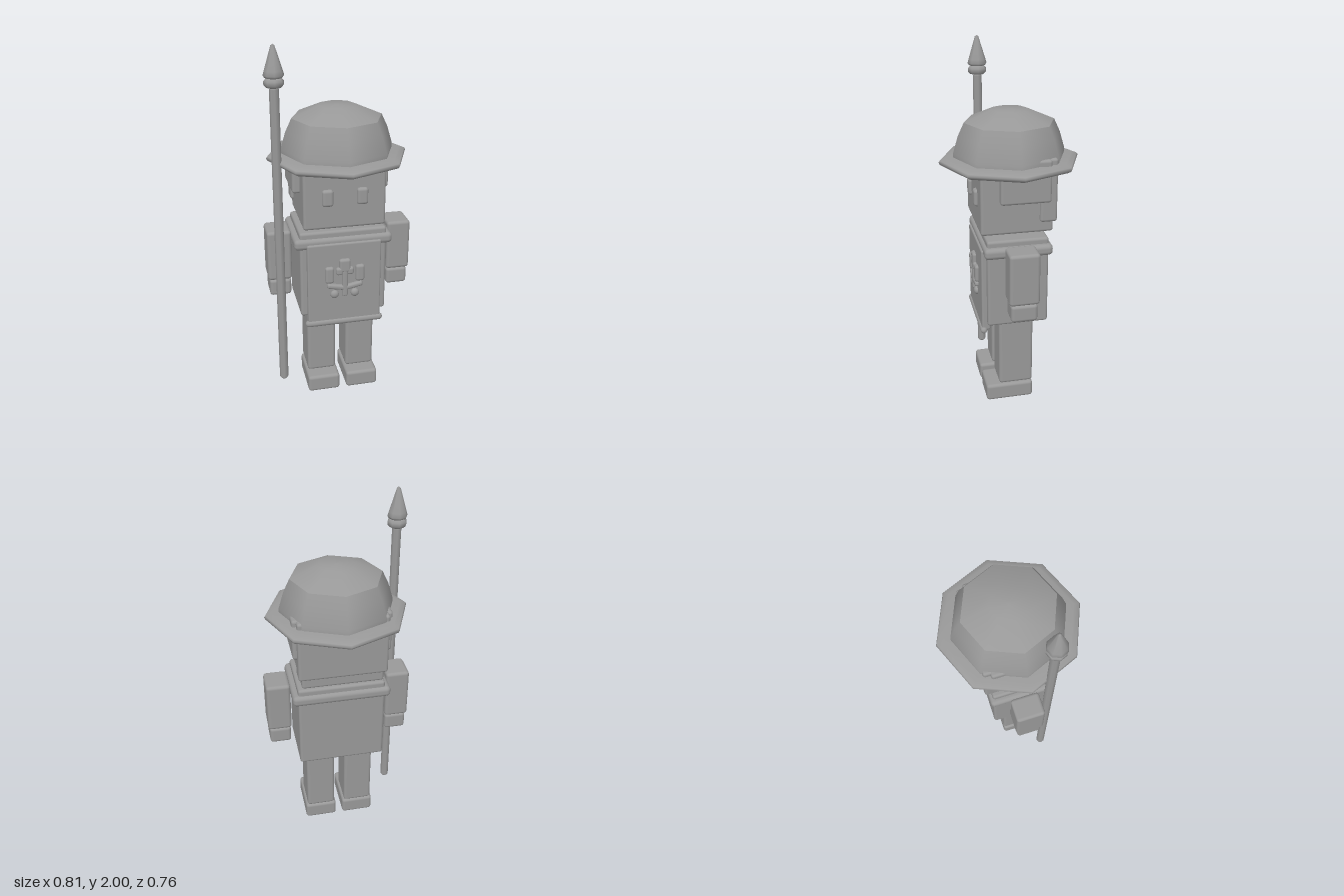
import * as THREE from 'three';
import { RoundedBoxGeometry } from 'three/addons/geometries/RoundedBoxGeometry.js';

export function createModel() {
  const root = new THREE.Group();
  root.name = 'toySoldier';
  const stone = new THREE.MeshStandardMaterial({ color: 0x999999 });
  stone.name = 'stoneGrey';

  const add = (name, geometry, parent = root) => {
    const mesh = new THREE.Mesh(geometry, stone);
    mesh.name = name;
    parent.add(mesh);
    return mesh;
  };
  // Rounded block given by its extents on each axis
  const block = (name, [x0, x1], [y0, y1], [z0, z1], r = 0.015, parent = root) => {
    const mesh = add(name, new RoundedBoxGeometry(x1 - x0, y1 - y0, z1 - z0, 2, r), parent);
    mesh.position.set((x0 + x1) / 2, (y0 + y1) / 2, (z0 + z1) / 2);
    return mesh;
  };
  // Eight-sided turned part, profile listed from bottom to top
  const turned = (name, profile, parent = root) =>
    add(name, new THREE.LatheGeometry(profile.map(([r, y]) => new THREE.Vector2(r, y)), 8), parent);
  const group = (name) => {
    const g = new THREE.Group();
    g.name = name;
    root.add(g);
    return g;
  };
  const span = (side, a, b) => (side > 0 ? [a, b] : [-b, -a]);

  // Limbs, hair and eyes, mirrored
  for (const side of [1, -1]) {
    const label = side > 0 ? 'left' : 'right';
    block(label + 'Foot', span(side, 0.02, 0.205), [0, 0.1], [-0.095, 0.175], 0.018);
    block(label + 'Leg', span(side, 0.03, 0.195), [0.1, 0.53], [-0.095, 0.1], 0.018);
    block(label + 'Arm', span(side, 0.27, 0.403), [0.71, 1.0], [-0.08, 0.083], 0.018);
    block(label + 'Hand', span(side, 0.275, 0.395), [0.61, 0.708], [-0.07, 0.073], 0.018);
    block(label + 'SideHair', span(side, 0.19, 0.262), [1.22, 1.45], [-0.17, 0.1]);
    block(label + 'Eye', span(side, 0.063, 0.123), [1.175, 1.268], [0.18, 0.216], 0.016);
  }

  // Torso, collar and tabard
  block('torso', [-0.24, 0.24], [0.515, 1.018], [-0.165, 0.17]);
  block('collar', [-0.27, 0.27], [0.923, 0.985], [-0.183, 0.187], 0.024);
  block('tabard', [-0.205, 0.205], [0.475, 0.955], [0.15, 0.197], 0.01);
  const hem = add('tabardHem', new THREE.CapsuleGeometry(0.02, 0.4, 4, 8));
  hem.rotation.z = Math.PI / 2;
  hem.position.set(0, 0.475, 0.188);

  // Head and back hair
  block('head', [-0.222, 0.222], [1.045, 1.42], [-0.19, 0.198]);
  block('backHair', [-0.24, 0.24], [1.105, 1.45], [-0.207, -0.115]);

  // Helmet: brim, sloping wall and shallow crown
  const helmet = group('helmet');
  turned('brim', [[0, 1.375], [0.31, 1.372], [0.355, 1.372], [0.375, 1.382], [0.381, 1.394],
    [0.375, 1.404], [0.345, 1.415], [0.29, 1.42]], helmet);
  turned('helmetWall', [[0.305, 1.41], [0.303, 1.44], [0.276, 1.53], [0.243, 1.6]], helmet);
  turned('helmetCrown', [[0.243, 1.6], [0.1, 1.662], [0, 1.666]], helmet);

  // Spear held beside the right arm
  const spear = group('spear');
  spear.position.set(-0.34, 0, 0.11);
  turned('spearShaft', [[0, 0.085], [0.018, 0.085], [0.025, 0.095], [0.025, 1.78], [0.018, 1.79], [0, 1.79]], spear);
  turned('spearRing', [[0, 1.79], [0.04, 1.791], [0.051, 1.803], [0.051, 1.822], [0.04, 1.835], [0, 1.836]], spear);
  turned('spearPoint', [[0, 1.836], [0.045, 1.838], [0.053, 1.85], [0.047, 1.872], [0.01, 1.992], [0, 2]], spear);

  // Raised lily-shaped ornament on the tabard
  const lily = group('chestOrnament');
  const depth = [0.185, 0.216];
  block('lilyStem', [-0.016, 0.016], [0.64, 0.8], depth, 0.011, lily);
  block('lilyCentrePetal', [-0.032, 0.032], [0.785, 0.865], depth, 0.015, lily);
  for (const side of [1, -1]) {
    block('lilySidePetal', span(side, 0.06, 0.11), [0.725, 0.823], depth, 0.015, lily);
    block('lilyInnerLeaf', span(side, 0.01, 0.05), [0.77, 0.815], depth, 0.014, lily);
    const bar = block('lilyBand', span(side, 0, 0.1), [0.685, 0.715], depth, 0.013, lily);
    bar.rotation.z = side * 0.2;
    const bead = add('lilyBead', new THREE.SphereGeometry(0.024, 12, 8), lily);
    bead.scale.z = 0.7;
    bead.position.set(side * 0.057, 0.653, 0.2);
  }
  return root;
}
